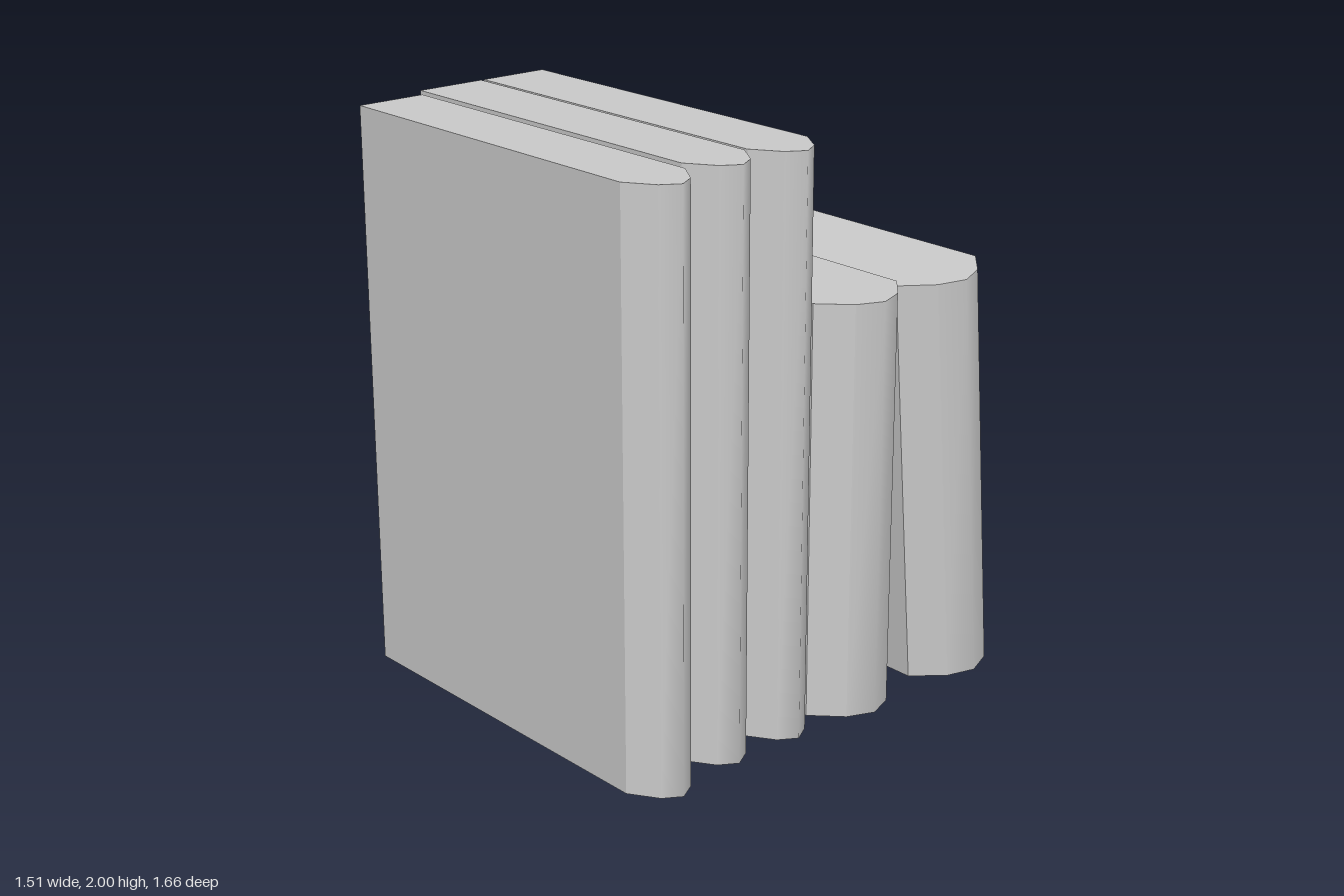
import * as THREE from 'three';

const material = new THREE.MeshStandardMaterial({ color: 0xcccccc, side: THREE.DoubleSide });

// Upright strip following [x, z] points, smooth along its own length only
function wall(name, points, height) {
  const positions = [];
  const index = [];
  points.forEach(([x, z], i) => {
    positions.push(x, 0, z, x, height, z);
    const a = i * 2;
    if (i > 0) index.push(a - 2, a, a + 1, a - 2, a + 1, a - 1);
  });
  const geometry = new THREE.BufferGeometry();
  geometry.setAttribute('position', new THREE.Float32BufferAttribute(positions, 3));
  geometry.setIndex(index);
  geometry.computeVertexNormals();
  const mesh = new THREE.Mesh(geometry, material);
  mesh.name = name;
  return mesh;
}

// Hollow book: two covers, a faceted rounded spine and a top; open at the bottom and the back end
function makeBook({ name, height, thickness, x = 0, y, z, lean = 0 }) {
  const h = thickness / 2;
  const outline = [
    [-0.72, h], [0.62, h], [0.717, h / 2], [0.755, 0],
    [0.717, -h / 2], [0.62, -h], [-0.72, -h],
  ];
  const book = new THREE.Group();
  book.name = name;
  book.add(
    wall('frontCover', outline.slice(0, 2), height),
    wall('spineFrontBevel', outline.slice(1, 3), height),
    wall('spine', outline.slice(2, 5), height),
    wall('spineBackBevel', outline.slice(4, 6), height),
    wall('backCover', outline.slice(5, 7), height),
  );

  const shape = new THREE.Shape(outline.map(([px, pz]) => new THREE.Vector2(px, -pz)));
  const top = new THREE.Mesh(new THREE.ShapeGeometry(shape).rotateX(-Math.PI / 2), material);
  top.name = 'topEdge';
  top.position.y = height;
  book.add(top);

  book.position.set(x, y, z);
  book.rotation.x = lean;
  return book;
}

export function createModel() {
  const model = new THREE.Group();
  model.name = 'bookRow';
  const books = [
    { name: 'tallBookFront', height: 1.992, thickness: 0.25, y: 0.003, z: 0.705 },
    { name: 'tallBookMiddle', height: 1.99, thickness: 0.253, x: -0.039, y: 0.01, z: 0.433 },
    { name: 'tallBookBack', height: 1.99, thickness: 0.253, x: -0.039, y: 0.01, z: 0.168 },
    { name: 'shortBook', height: 1.45, thickness: 0.38, y: 0.015, z: -0.147 },
    { name: 'leaningBook', height: 1.45, thickness: 0.38, y: 0.018, z: -0.64, lean: 0.08 },
  ];
  books.forEach((spec) => model.add(makeBook(spec)));
  return model;
}
